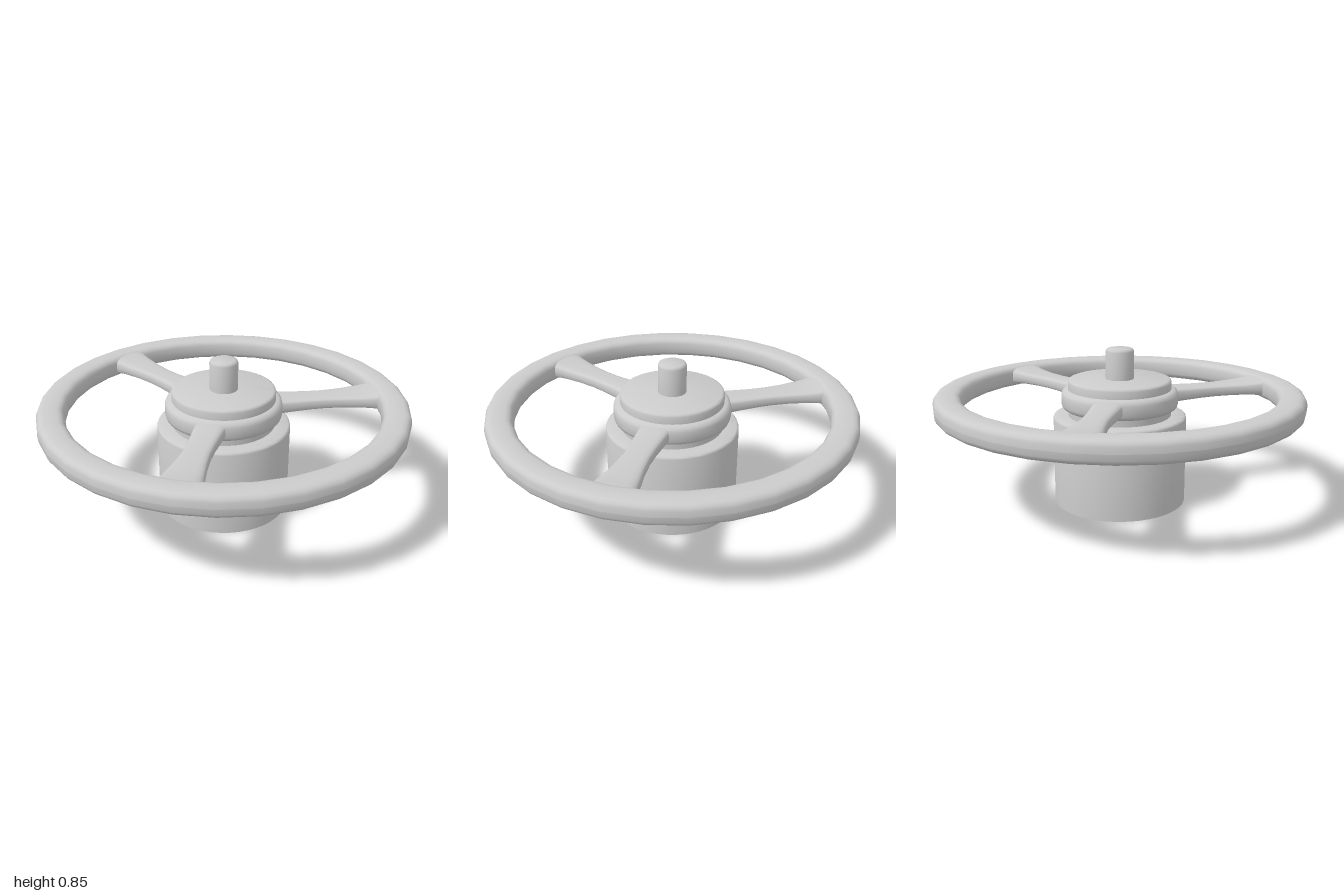
import * as THREE from 'three';
import { toCreasedNormals } from 'three/addons/utils/BufferGeometryUtils.js';

const material = new THREE.MeshStandardMaterial({ color: 0xcccccc });
const openMaterial = new THREE.MeshStandardMaterial({ color: 0xcccccc, side: THREE.DoubleSide });

// Profile of [radius, height] pairs, running upwards on the outside
function turned(name, profile, segments = 48, mat = material) {
  const points = profile.map(([r, y]) => new THREE.Vector2(r, y));
  const geometry = toCreasedNormals(new THREE.LatheGeometry(points, segments), 0.9);
  const mesh = new THREE.Mesh(geometry, mat);
  mesh.name = name;
  return mesh;
}

// Rounded-box cross-section point at angle a
function roundedPoint(a, halfWidth, halfHeight, power) {
  const c = Math.cos(a), s = Math.sin(a);
  return [
    halfWidth * Math.sign(c) * Math.abs(c) ** power,
    halfHeight * Math.sign(s) * Math.abs(s) ** power,
  ];
}

// Spoke along -z: rounded sections that narrow in the middle and flare into the rim
function spokeGeometry() {
  // [distance from the axis, half width, half height]
  const sections = [
    [0.28, 0.085, 0.042], [0.38, 0.078, 0.038], [0.47, 0.072, 0.035], [0.56, 0.071, 0.034],
    [0.66, 0.080, 0.034], [0.76, 0.096, 0.037], [0.82, 0.106, 0.043], [0.86, 0.116, 0.05], [0.9, 0.122, 0.054],
  ];
  const sides = 20, positions = [], index = [];
  for (const [r, w, h] of sections) {
    for (let j = 0; j < sides; j++) {
      const [x, y] = roundedPoint((j / sides) * Math.PI * 2, w, h, 0.55);
      positions.push(x, y + 0.58, -r);
    }
  }
  for (let i = 0; i < sections.length - 1; i++) {
    for (let j = 0; j < sides; j++) {
      const k = (j + 1) % sides;
      const a = i * sides + j, b = i * sides + k, c = a + sides, d = b + sides;
      index.push(a, c, b, b, c, d);
    }
  }
  const geometry = new THREE.BufferGeometry();
  geometry.setAttribute('position', new THREE.Float32BufferAttribute(positions, 3));
  geometry.setIndex(index);
  geometry.computeVertexNormals();
  return geometry;
}

export function createModel() {
  const model = new THREE.Group();
  model.name = 'handwheel';

  // Hollow base, open underneath
  model.add(turned('base', [
    [0.366, 0], [0.366, 0.475], [0.363, 0.484], [0.354, 0.489], [0.27, 0.489],
  ], 48, openMaterial));

  // Hub with a rounded collar and a flat cap
  model.add(turned('hub', [
    [0.283, 0.48], [0.283, 0.525], [0.3, 0.528], [0.314, 0.538], [0.32, 0.555],
    [0.32, 0.605], [0.314, 0.622], [0.3, 0.632], [0.283, 0.635],
    [0.283, 0.674], [0.279, 0.684], [0.269, 0.688], [0, 0.688],
  ]));

  // Central shaft
  model.add(turned('shaft', [
    [0.077, 0.68], [0.077, 0.838], [0.073, 0.849], [0.063, 0.854], [0, 0.854],
  ], 32));

  // Rim: a rounded section turned in coarse steps
  const rimProfile = [];
  for (let j = 0; j <= 20; j++) {
    const [x, y] = roundedPoint((j / 20) * Math.PI * 2, 0.075, 0.0625, 0.65);
    rimProfile.push(new THREE.Vector2(0.925 + x, 0.578 + y));
  }
  const rim = new THREE.Mesh(new THREE.LatheGeometry(rimProfile, 32), material);
  rim.name = 'rim';
  model.add(rim);

  // Three spokes: one to the back, two swept towards the front
  const geometry = spokeGeometry();
  for (const degrees of [0, 123.5, -123.5]) {
    const spoke = new THREE.Mesh(geometry, material);
    spoke.name = 'spoke';
    spoke.rotation.y = THREE.MathUtils.degToRad(degrees);
    model.add(spoke);
  }
  return model;
}
